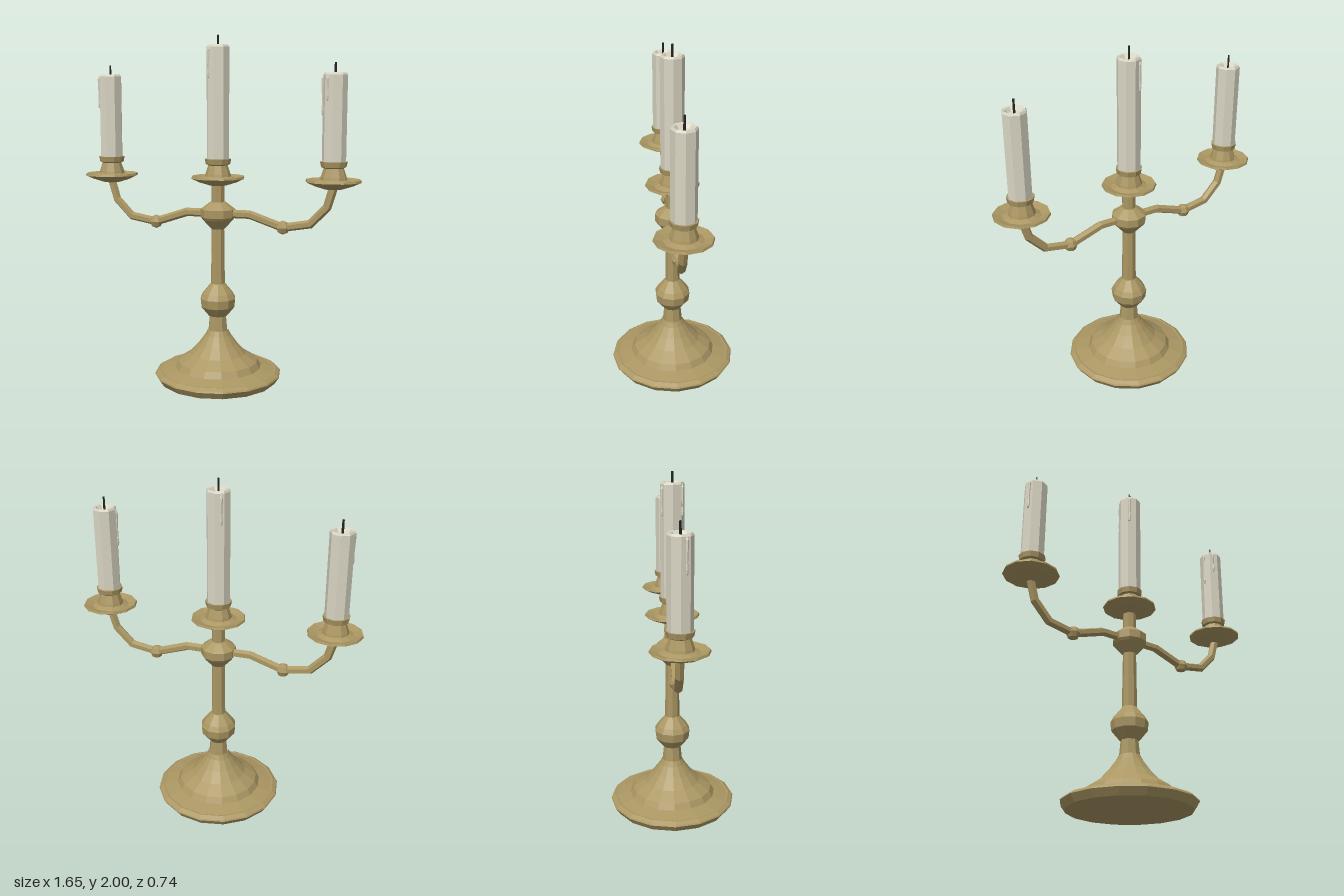
import * as THREE from 'three';

const mat = (name, color) => {
  const m = new THREE.MeshStandardMaterial({ color, flatShading: true });
  m.name = name;
  return m;
};

export function createModel() {
  const brass = mat('brass', 0xab9763);
  const wax = mat('wax', 0xd9d5c3);
  const char = mat('wickBlack', 0x242424);
  const root = new THREE.Group();
  root.name = 'candelabrum';

  const add = (parent, name, geo, material, x = 0, y = 0, z = 0) => {
    const m = new THREE.Mesh(geo, material);
    m.name = name;
    m.position.set(x, y, z);
    parent.add(m);
    return m;
  };
  // Faceted turned part from [radius, height] pairs, bottom to top
  const turned = (pts, sides, start = 0) =>
    new THREE.LatheGeometry(pts.map(p => new THREE.Vector2(p[0], p[1])), sides, start);

  // Flared foot
  add(root, 'base', turned([
    [0, 0], [0.345, 0], [0.372, 0.04], [0.368, 0.048], [0.345, 0.062], [0.335, 0.06], [0.255, 0.08],
    [0.235, 0.115], [0.165, 0.16], [0.115, 0.215], [0.075, 0.27], [0.06, 0.3]
  ], 16), brass);

  // Stem pieces
  add(root, 'neck', turned([[0.061, 0.27], [0.048, 0.4]], 8), brass);
  add(root, 'stemBulb', turned([
    [0, 0.385], [0.055, 0.385], [0.1, 0.44], [0.106, 0.49], [0.09, 0.52], [0.042, 0.578], [0, 0.578]
  ], 10, Math.PI / 2), brass);
  add(root, 'stem', turned([[0.043, 0.56], [0.038, 0.92], [0.04, 1.17]], 8), brass);
  add(root, 'armHub', turned([
    [0.04, 0.9], [0.09, 0.955], [0.1, 0.97], [0.1, 1.015], [0.088, 1.025], [0.045, 1.057], [0, 1.057]
  ], 10), brass);

  // Curved arm: six-sided rings set square to a path in the x-y plane
  const path = [[0.03, 0.99], [0.19, 0.99], [0.385, 0.925], [0.54, 0.952], [0.635, 1.05], [0.67, 1.17]];
  const armGeometry = side => {
    const n = 6, r = 0.025, pos = [], idx = [];
    path.forEach(([x, y], i) => {
      const a = path[Math.max(i - 1, 0)], b = path[Math.min(i + 1, path.length - 1)];
      const len = Math.hypot(b[0] - a[0], b[1] - a[1]);
      const nx = -(b[1] - a[1]) / len, ny = (b[0] - a[0]) / len;
      for (let k = 0; k < n; k++) {
        const t = k / n * Math.PI * 2, c = Math.cos(t) * r, s = Math.sin(t) * r;
        pos.push(side * (x + nx * c), y + ny * c, s);
        if (i === 0) continue;
        const p = (i - 1) * n + k, q = (i - 1) * n + (k + 1) % n;
        if (side > 0) idx.push(p, q, p + n, q, q + n, p + n);
        else idx.push(p, p + n, q, q, p + n, q + n);
      }
    });
    const g = new THREE.BufferGeometry();
    g.setAttribute('position', new THREE.Float32BufferAttribute(pos, 3));
    g.setIndex(idx);
    g.computeVertexNormals();
    return g;
  };
  for (const side of [-1, 1]) {
    const label = side > 0 ? 'left' : 'right';
    add(root, label + 'Arm', armGeometry(side), brass);
    add(root, label + 'ArmBead', new THREE.SphereGeometry(0.04, 8, 4), brass, side * 0.385, 0.925);
  }

  // Drip pan, cup, candle and wick; drips are [direction x, direction z, top, bottom]
  const holder = (name, x, top, drips) => {
    const g = new THREE.Group();
    g.name = name;
    g.position.x = x;
    root.add(g);
    add(g, 'dripPan', turned([
      [0, 1.15], [0.05, 1.153], [0.11, 1.172], [0.156, 1.194], [0.152, 1.206], [0.105, 1.192], [0.075, 1.205]
    ], 12), brass);
    add(g, 'candleCup', turned([
      [0.078, 1.195], [0.072, 1.22], [0.056, 1.268], [0.07, 1.275], [0.076, 1.305], [0.062, 1.305], [0.055, 1.285]
    ], 10), brass);
    add(g, 'candle', turned([
      [0.067, 1.28], [0.067, top - 0.012], [0.06, top], [0.05, top - 0.003], [0.036, top - 0.022], [0, top - 0.026]
    ], 8), wax);
    add(g, 'wick', new THREE.CylinderGeometry(0.006, 0.007, 0.085, 4), char, 0, top + 0.0125);
    for (const [dx, dz, hi, lo] of drips) {
      const d = 0.066 / Math.hypot(dx, dz);
      add(g, 'waxDrip', turned([
        [0, lo], [0.006, lo + 0.006], [0.008, lo + 0.025], [0.005, lo + 0.06], [0.009, hi - 0.02], [0, hi]
      ], 5), wax, dx * d, 0, dz * d);
    }
  };
  holder('centreCandle', 0, 1.945, [[-0.04, 0.053, 1.94, 1.76], [-0.035, -0.06, 1.93, 1.76]]);
  holder('rightCandle', -0.667, 1.785, [[-0.06, 0.028, 1.78, 1.59]]);
  holder('leftCandle', 0.667, 1.785, [[-0.065, 0.01, 1.775, 1.555], [-0.03, 0.058, 1.775, 1.635]]);

  return root;
}
